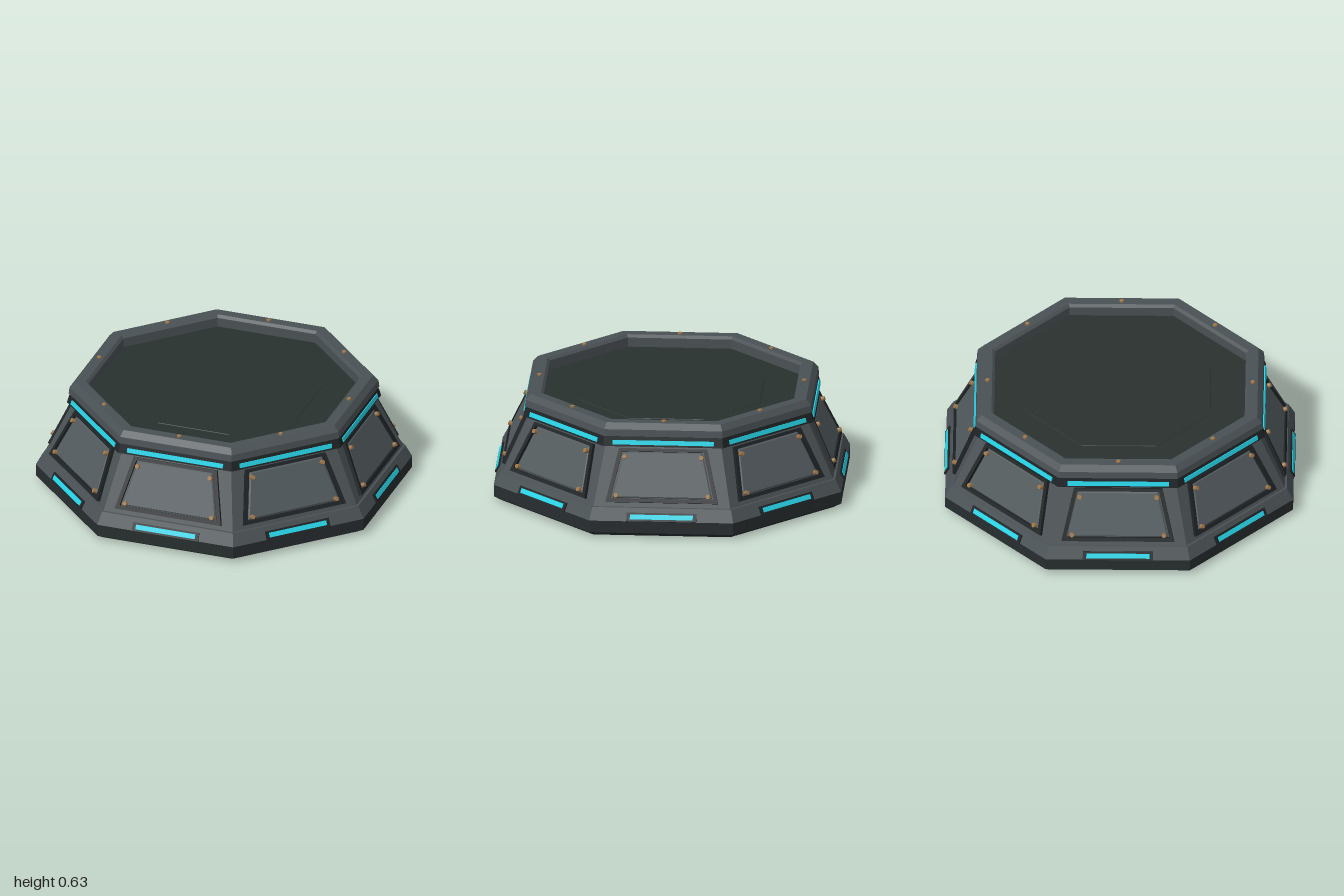
import * as THREE from 'three';

const mat = (name, color) => {
  const m = new THREE.MeshStandardMaterial({ color });
  m.name = name;
  return m;
};

export function createModel() {
  const body = mat('body grey', 0x4a5154);
  const plate = mat('panel grey', 0x535b5e);
  const dark = mat('dark metal', 0x272d2f);
  const trim = mat('black trim', 0x1e2325);
  const deck = mat('deck green grey', 0x29312f);
  const glow = mat('cyan light', 0x28dcf0);
  const brass = mat('brass', 0xa0774a);

  const model = new THREE.Group();
  model.name = 'octagonalPlatform';

  const add = (parent, name, geo, material, x = 0, y = 0, z = 0) => {
    const mesh = new THREE.Mesh(geo, material);
    mesh.name = name;
    mesh.position.set(x, y, z);
    parent.add(mesh);
    return mesh;
  };

  // Group lying on a sloped face, its own z pointing out of that face
  const onSlope = (parent, name, y, z, tilt) => {
    const g = new THREE.Group();
    g.name = name;
    g.position.set(0, y, z);
    g.rotation.x = -tilt;
    parent.add(g);
    return g;
  };

  // Flat-faced octagonal ring from [apothem, y] pairs, outer side listed upwards
  const octagon = (pairs) => {
    const pts = pairs.map(([r, y]) => new THREE.Vector2(r / Math.cos(Math.PI / 8), y));
    const geo = new THREE.LatheGeometry(pts, 8, Math.PI / 8).toNonIndexed();
    geo.computeVertexNormals();
    return geo;
  };

  // Base, wall, light band and rim
  add(model, 'baseSkirt', octagon([[0, 0], [0.945, 0], [0.993, 0.03], [0.993, 0.1]]), dark);
  add(model, 'baseBevel', octagon([[0.993, 0.1], [0.957, 0.17], [0.93, 0.172]]), body);
  add(model, 'slopedWall', octagon([[0.945, 0.17], [0.8, 0.49]]), body);
  add(model, 'lightBand', octagon([[0.79, 0.487], [0.829, 0.495], [0.814, 0.55], [0.8, 0.553]]), trim);
  add(model, 'rim', octagon([[0.8, 0.549], [0.82, 0.553], [0.815, 0.592], [0.787, 0.625],
    [0.73, 0.625], [0.715, 0.61], [0.715, 0.55]]), body);

  // Shallow sunken deck with a slightly raised centre
  add(model, 'deck', octagon([[0.72, 0.555], [0, 0.555]]), deck);
  add(model, 'deckCentre', octagon([[0.517, 0.555], [0.515, 0.558], [0, 0.558]]), deck);

  // Trapezoid outline shared by the frame and the panel
  const trapezoid = (C, low, high, bottom, top) => {
    const s = new C();
    s.moveTo(-low, bottom);
    s.lineTo(low, bottom);
    s.lineTo(high, top);
    s.lineTo(-high, top);
    s.closePath();
    return s;
  };
  const frameShape = trapezoid(THREE.Shape, 0.322, 0.252, -0.15, 0.16);
  frameShape.holes.push(trapezoid(THREE.Path, 0.294, 0.233, -0.127, 0.142));
  const frameGeo = new THREE.ExtrudeGeometry(frameShape, { depth: 0.02, bevelEnabled: false });
  const panelGeo = new THREE.ExtrudeGeometry(trapezoid(THREE.Shape, 0.278, 0.22, -0.117, 0.132), {
    depth: 0.01, bevelThickness: 0.006, bevelSize: 0.008, bevelSegments: 1,
  });
  const boltGeo = new THREE.CylinderGeometry(0.013, 0.015, 0.026, 8);
  const wallTilt = Math.atan2(0.145, 0.32);
  const bevelTilt = Math.atan2(0.036, 0.07);
  const bandTilt = Math.atan2(0.015, 0.055);

  for (let i = 0; i < 8; i++) {
    const side = new THREE.Group();
    side.name = 'side' + (i + 1);
    side.rotation.y = (i * Math.PI) / 4;
    model.add(side);

    // Bolted panel lying on the sloped wall
    const panel = onSlope(side, 'wallPanel', 0.33, 0.8725, wallTilt);
    add(panel, 'panelFrame', frameGeo, trim);
    add(panel, 'panelPlate', panelGeo, plate);
    for (const s of [-1, 1]) {
      for (const [x, y] of [[0.22, 0.11], [0.263, -0.112]]) {
        add(panel, 'panelBolt', boltGeo, brass, s * x, y, 0.022).rotation.x = Math.PI / 2;
      }
    }

    // Long light on the band and short framed light on the base bevel
    const upper = onSlope(side, 'upperLightMount', 0.518, 0.823, bandTilt);
    add(upper, 'upperLight', new THREE.BoxGeometry(0.58, 0.026, 0.008), glow, 0, 0, 0.002);
    const lower = onSlope(side, 'lowerLightMount', 0.122, 0.982, bevelTilt);
    add(lower, 'lowerLightHousing', new THREE.BoxGeometry(0.4, 0.05, 0.016), trim);
    add(lower, 'lowerLight', new THREE.BoxGeometry(0.36, 0.028, 0.008), glow, 0, 0, 0.007);

    // Bolt on top of the rim
    add(side, 'rimBolt', boltGeo, brass, 0, 0.62, 0.757);
  }
  return model;
}
